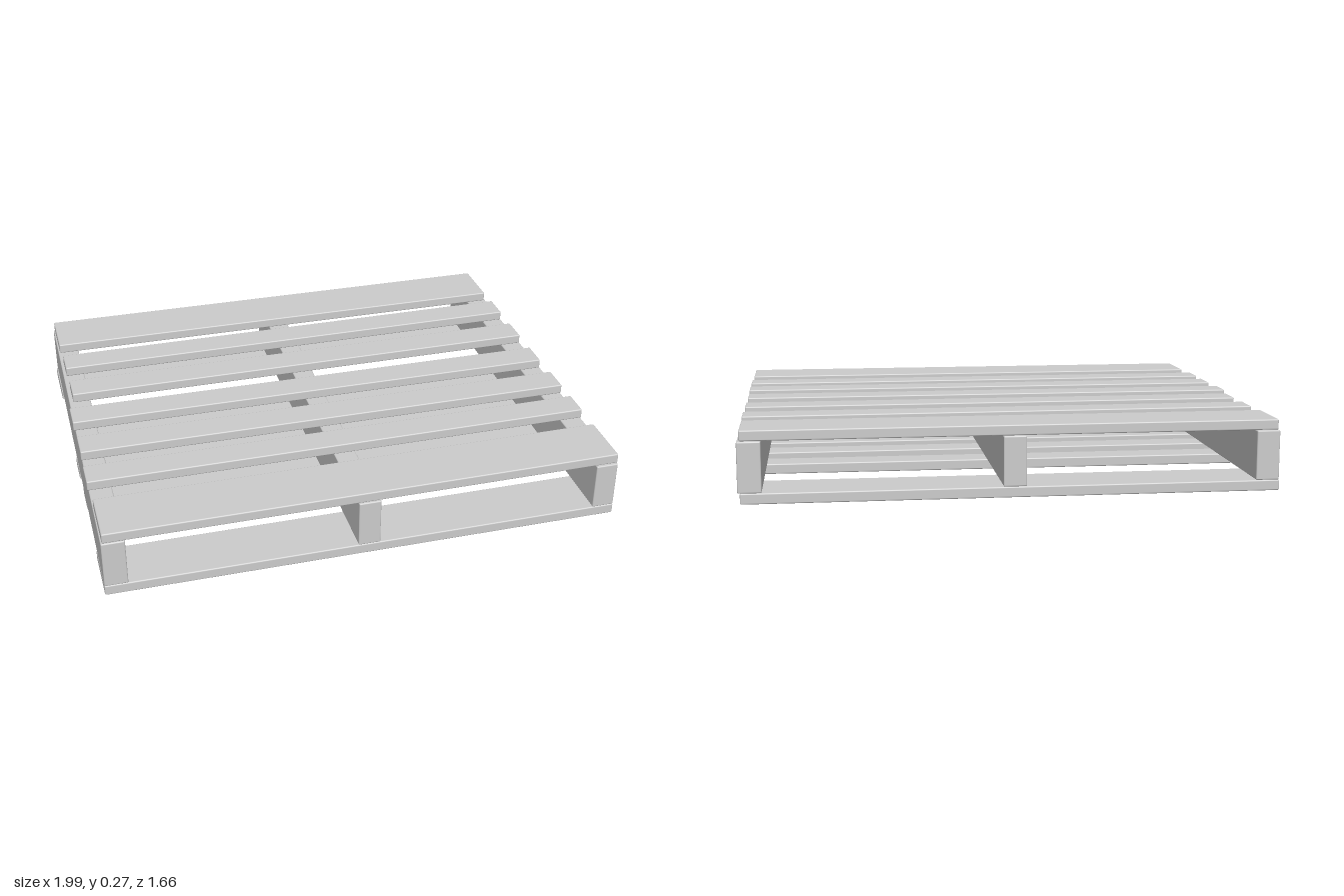
import * as THREE from 'three';
import { RoundedBoxGeometry } from 'three/addons/geometries/RoundedBoxGeometry.js';

const material = new THREE.MeshStandardMaterial({ color: 0xcccccc });

// Softly edged timber; skew shifts its far ends sideways for a hand-nailed look
function timber(name, [x0, x1], [y0, y1], [z0, z1], skew = 0) {
  const w = x1 - x0, h = y1 - y0, d = z1 - z0;
  const geometry = new RoundedBoxGeometry(w, h, d, 2, 0.005);
  const p = geometry.attributes.position;
  for (let i = 0; i < p.count; i++) {
    if (w > d) p.setZ(i, p.getZ(i) + skew * p.getX(i) / w);
    else p.setX(i, p.getX(i) + skew * p.getZ(i) / d);
  }
  const mesh = new THREE.Mesh(geometry, material);
  mesh.name = name;
  mesh.position.set((x0 + x1) / 2, (y0 + y1) / 2, (z0 + z1) / 2);
  return mesh;
}

export function createModel() {
  const pallet = new THREE.Group();
  pallet.name = 'pallet';

  // Three upright beams running front to back
  const beams = [
    ['rightStringer', -0.99, -0.903, -0.01],
    ['centreStringer', -0.043, 0.042, -0.005],
    ['leftStringer', 0.905, 0.991, -0.01],
  ];
  for (const [name, x0, x1, skew] of beams) {
    pallet.add(timber(name, [x0, x1], [0.045, 0.231], [-0.828, 0.828], skew));
  }

  // Top deck: wide end boards and five narrow slats (x0, x1, z0, z1, skew)
  const topBoards = [
    [-0.98, 0.987, -0.821, -0.6, 0],
    [-0.975, 0.99, -0.511, -0.395, -0.01],
    [-0.973, 0.988, -0.286, -0.168, -0.005],
    [-0.998, 0.987, -0.06, 0.056, 0.006],
    [-0.995, 0.99, 0.16, 0.278, 0.004],
    [-0.998, 0.99, 0.37, 0.483, -0.004],
    [-0.99, 0.987, 0.595, 0.823, -0.005],
  ];
  topBoards.forEach(([x0, x1, z0, z1, skew], i) =>
    pallet.add(timber('topBoard' + (i + 1), [x0, x1], [0.232, 0.271], [z0, z1], skew)));

  // Bottom deck: wide end boards and three narrow slats
  const bottomBoards = [
    [-0.99, 0.988, -0.82, -0.597, 0],
    [-0.985, 0.988, -0.296, -0.18, 0.008],
    [-0.992, 0.988, -0.056, 0.059, 0.004],
    [-0.99, 0.988, 0.163, 0.279, 0],
    [-0.995, 0.988, 0.6, 0.825, 0],
  ];
  bottomBoards.forEach(([x0, x1, z0, z1, skew], i) =>
    pallet.add(timber('bottomBoard' + (i + 1), [x0, x1], [0.003, 0.043], [z0, z1], skew)));

  return pallet;
}
